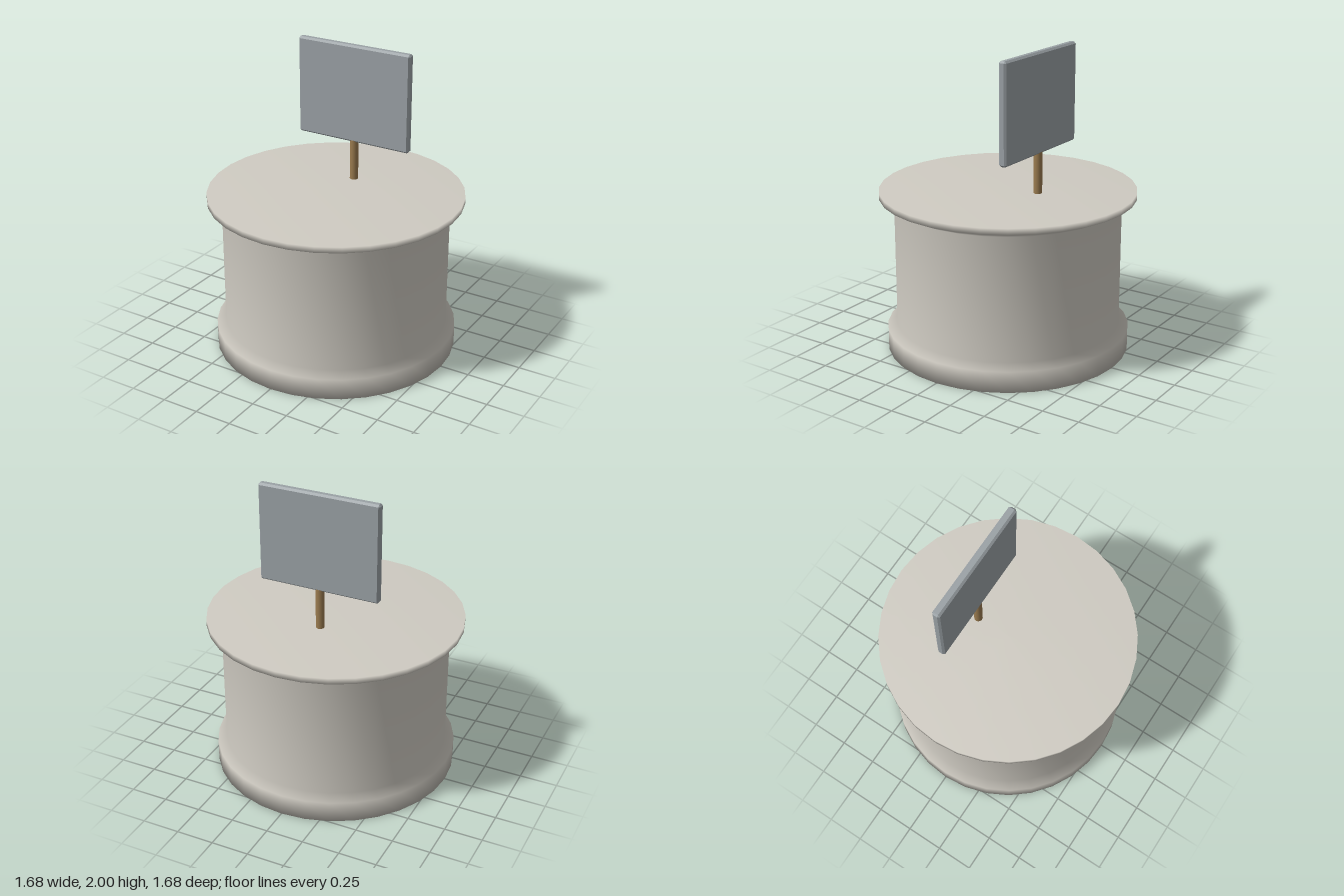
import * as THREE from 'three';
import { ConvexGeometry } from 'three/addons/geometries/ConvexGeometry.js';

// Box with chamfered edges: hull of three boxes, each full size on one axis only
function chamferedBox(w, h, d, cx, cy, cz) {
  const full = [w / 2, h / 2, d / 2];
  const inset = [w / 2 - cx, h / 2 - cy, d / 2 - cz];
  const points = [];
  for (let axis = 0; axis < 3; axis++) {
    const size = inset.map((v, i) => (i === axis ? full[i] : v));
    for (const sx of [-1, 1]) for (const sy of [-1, 1]) for (const sz of [-1, 1]) {
      points.push(new THREE.Vector3(sx * size[0], sy * size[1], sz * size[2]));
    }
  }
  return new ConvexGeometry(points);
}

export function createModel() {
  const model = new THREE.Group();
  const add = (name, geometry, color, x, y, z) => {
    const mesh = new THREE.Mesh(geometry, new THREE.MeshStandardMaterial({ color }));
    mesh.name = name;
    mesh.position.set(x, y, z);
    model.add(mesh);
  };

  // Round pedestal: plinth, drum and overhanging top, smooth all the way round
  const profile = [
    [0, 0], [0.805, 0], [0.805, 0.14], [0.745, 0.175],
    [0.745, 0.995], [0.84, 1.04], [0.84, 1.08], [0, 1.08],
  ].map(([r, y]) => new THREE.Vector2(r, y));
  add('pedestal', new THREE.LatheGeometry(profile, 32), 0xcfcbc2, 0, 0, 0);

  // Sign on its post, set behind the middle
  const z = -0.23;
  add('signPost', new THREE.CylinderGeometry(0.028, 0.028, 0.28, 12), 0x9a7b4f, 0, 1.215, z);
  add('signBoard', chamferedBox(0.82, 0.655, 0.055, 0.011, 0.012, 0.014), 0x9aa1a5, 0, 1.6725, z);

  return model;
}
